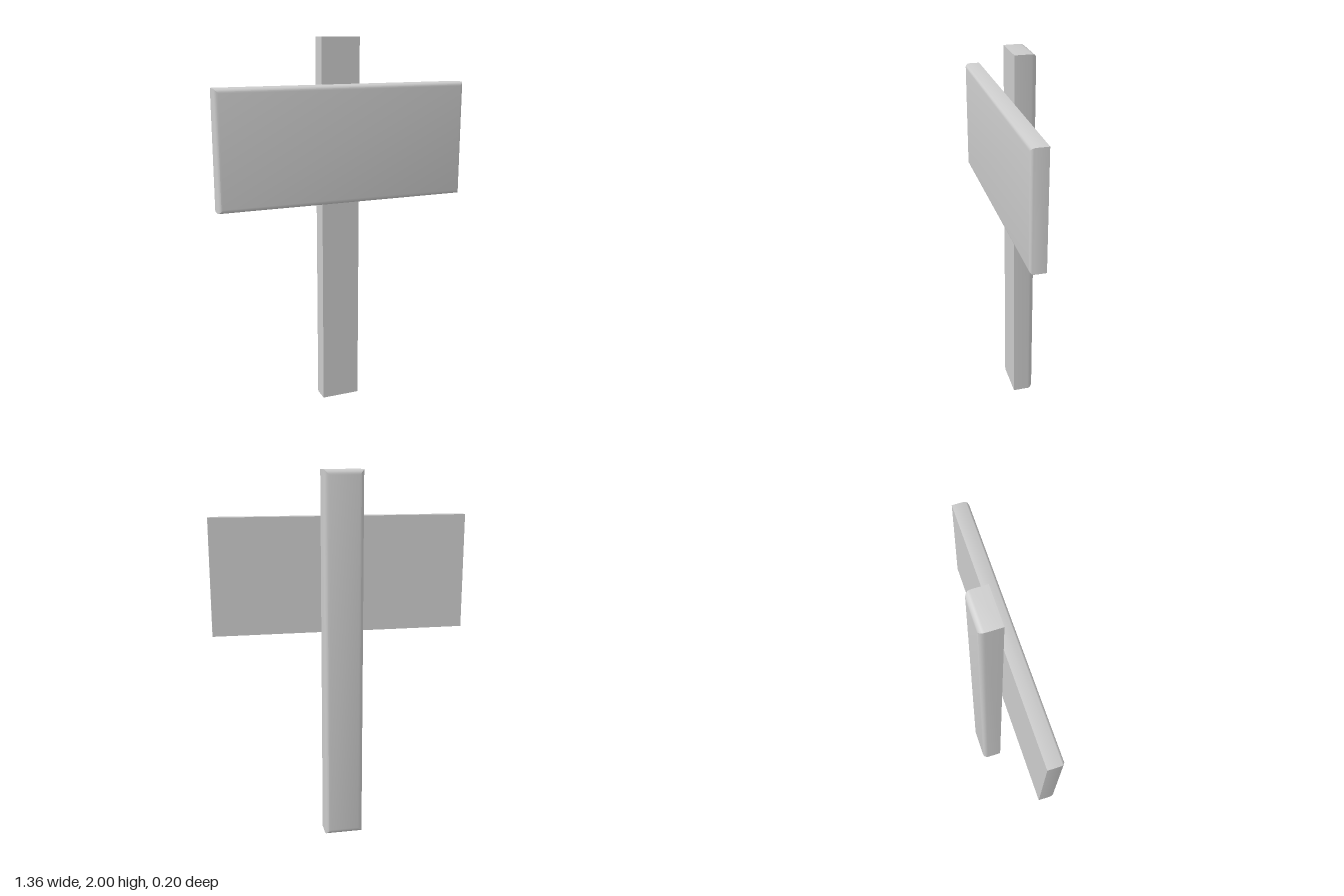
import * as THREE from 'three';
import { toCreasedNormals } from 'three/addons/utils/BufferGeometryUtils.js';

// Plank: sharp flat back at z = 0, rounded rim on the face at z = depth
function plankGeometry(width, height, depth, radius, steps = 4) {
  const positions = [];
  const index = [];
  const addRing = (inset, z) => {
    const x = width / 2 - inset;
    const y = height / 2 - inset;
    positions.push(-x, -y, z, x, -y, z, x, y, z, -x, y, z);
  };
  addRing(0, 0);
  for (let i = 0; i <= steps; i++) {
    const t = (i / steps) * Math.PI / 2;
    addRing(radius * (1 - Math.cos(t)), depth - radius + radius * Math.sin(t));
  }
  // Walls between neighbouring rings
  for (let r = 0; r <= steps; r++) {
    for (let k = 0; k < 4; k++) {
      const a = r * 4 + k;
      const b = r * 4 + (k + 1) % 4;
      index.push(a, b, b + 4, a, b + 4, a + 4);
    }
  }
  // Back and face
  const f = (steps + 1) * 4;
  index.push(0, 2, 1, 0, 3, 2, f, f + 1, f + 2, f, f + 2, f + 3);

  const geometry = new THREE.BufferGeometry();
  geometry.setAttribute('position', new THREE.Float32BufferAttribute(positions, 3));
  geometry.setIndex(index);
  return toCreasedNormals(geometry, 0.6);
}

export function createModel() {
  const group = new THREE.Group();
  group.name = 'signpost';
  const material = new THREE.MeshStandardMaterial({ color: 0xcccccc });
  const joint = 0.015; // plane where board and post meet

  // Upright post, rounded towards the back
  const post = new THREE.Mesh(plankGeometry(0.21, 2, 0.113, 0.028), material);
  post.name = 'post';
  post.rotation.y = Math.PI;
  post.position.set(0, 1, joint);

  // Sign board, rounded towards the front
  const board = new THREE.Mesh(plankGeometry(1.364, 0.614, 0.083, 0.022), material);
  board.name = 'board';
  board.position.set(0, 1.456, joint);

  group.add(post, board);
  return group;
}
